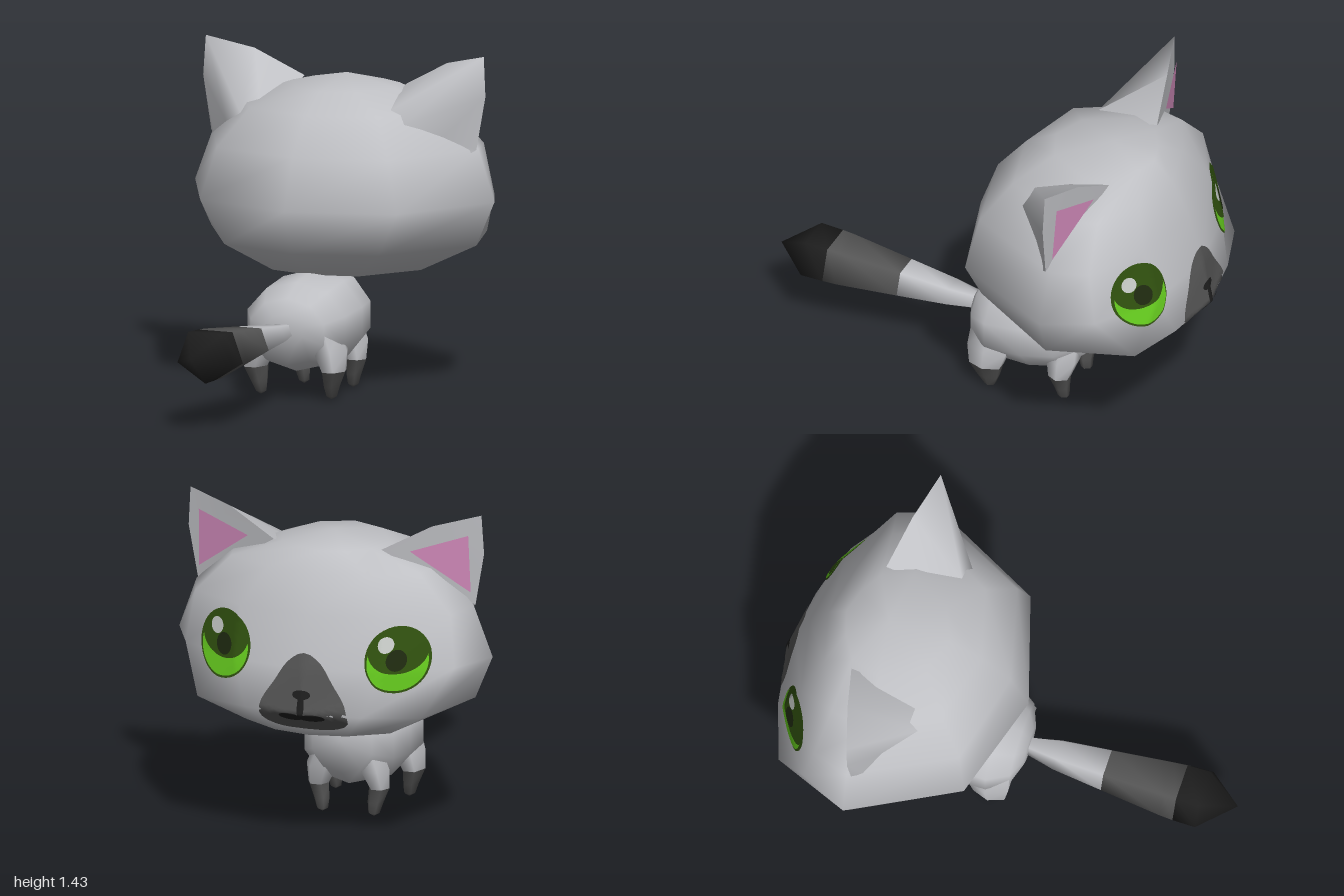
import * as THREE from 'three';

const mat = (name, color, side = THREE.FrontSide) => {
  const m = new THREE.MeshStandardMaterial({ color, side });
  m.name = name;
  return m;
};

// Skin consecutive rings of points; a ring of one point closes to a tip.
function loft(rings, closed = true) {
  const pos = [], idx = [], start = [];
  for (const r of rings) {
    start.push(pos.length / 3);
    for (const p of r) pos.push(...p);
  }
  for (let i = 0; i < rings.length - 1; i++) {
    const A = rings[i], B = rings[i + 1], n = Math.max(A.length, B.length);
    for (let j = 0; j < (closed ? n : n - 1); j++) {
      const k = (j + 1) % n, s = start[i], t = start[i + 1];
      if (A.length === 1) idx.push(s, t + k, t + j);
      else if (B.length === 1) idx.push(s + j, s + k, t);
      else idx.push(s + j, s + k, t + k, s + j, t + k, t + j);
    }
  }
  const g = new THREE.BufferGeometry();
  g.setAttribute('position', new THREE.Float32BufferAttribute(pos, 3));
  g.setIndex(idx);
  g.computeVertexNormals();
  return g;
}

// Polygon rings across z and across y
const ringZ = (z, cy, rx, ry, n, a0 = 0) => Array.from({ length: n }, (_, i) => {
  const a = a0 + (i / n) * Math.PI * 2;
  return [rx * Math.cos(a), cy + ry * Math.sin(a), z];
});
const ringY = (x, y, z, rx, rz, n = 6) => Array.from({ length: n }, (_, i) => {
  const a = (i / n) * Math.PI * 2;
  return [x + rx * Math.cos(a), y, z - rz * Math.sin(a)];
});

export function createModel() {
  const model = new THREE.Group();
  model.name = 'cat';
  const fur = mat('greyFur', 0xbfc0c4, THREE.DoubleSide);
  const dark = mat('darkGreyFur', 0x555555);
  const black = mat('blackFur', 0x1e1e1e);
  const pink = mat('earPink', 0xd48cbd);
  const deepGreen = mat('irisDarkGreen', 0x30500f);
  const green = mat('irisBrightGreen', 0x64c81e);
  const pupilMat = mat('pupil', 0x1f2a10);
  const shine = mat('eyeShine', 0xc8ccc8);
  const add = (name, geo, material) => {
    const m = new THREE.Mesh(geo, material);
    m.name = name;
    model.add(m);
    return m;
  };

  // Head: level cross-sections, half outline [x, z] from nape to face centre
  const levels = [
    [0.50, [[0, -0.19], [0.2, -0.24], [0.37, -0.5], [0.32, -0.76], [0.16, -0.86], [0, -0.89]]],
    [0.62, [[0, 0.01], [0.36, -0.1], [0.62, -0.52], [0.5, -0.88], [0.26, -0.96], [0, -1.0]]],
    [0.81, [[0, 0.07], [0.46, -0.07], [0.7, -0.53], [0.6, -0.74], [0.33, -0.9], [0, -0.965]]],
    [1.03, [[0, -0.01], [0.4, -0.11], [0.62, -0.54], [0.57, -0.7], [0.32, -0.84], [0, -0.9]]],
    [1.19, [[0, -0.14], [0.3, -0.22], [0.46, -0.5], [0.42, -0.67], [0.22, -0.77], [0, -0.82]]],
    [1.27, [[0, -0.28], [0.14, -0.34], [0.24, -0.52], [0.2, -0.65], [0.1, -0.71], [0, -0.74]]],
  ];
  const headRings = levels.map(([y, half]) => [
    ...half.map(([x, z]) => [x, y, z]),
    ...half.slice(1, -1).reverse().map(([x, z]) => [-x, y, z]),
  ]);
  const head = add('head', loft([[[0, 0.455, -0.52]], ...headRings, [[0, 1.315, -0.55]]]), fur);

  // Ears: flat front, pink lining, back swept into the skull
  const earRim = [[0.24, 1.27, -0.64], [0.45, 1.38, -0.59], [0.65, 1.43, -0.53], [0.66, 1.26, -0.525], [0.62, 1.03, -0.52]];
  const earRoot = [[0.24, 1.22, -0.45], [0.3, 1.2, -0.32], [0.38, 1.15, -0.3], [0.5, 1.08, -0.42], [0.58, 1.0, -0.47]];
  const lining = [[0.36, 1.27, -0.617], [0.6, 1.345, -0.555], [0.605, 1.09, -0.537]];
  const mid = (pts) => [0, 1, 2].map((k) => pts.reduce((s, p) => s + p[k], 0) / pts.length);
  for (const s of [1, -1]) {
    const side = s > 0 ? 'left' : 'right';
    const flip = (pts) => {
      const q = pts.map(([x, y, z]) => [s * x, y, z]);
      return s > 0 ? q : q.reverse();
    };
    const rim = flip(earRim), inner = flip(lining);
    add(side + 'EarFront', loft([rim, [mid(rim)]]), fur);
    add(side + 'EarBack', loft([flip(earRoot), rim], false), fur);
    add(side + 'EarLining', loft([inner, [mid(inner)]]).translate(s * 0.002, 0, -0.008), pink);
  }

  // Face markings: thin patches that follow the face surface
  const ray = new THREE.Raycaster();
  const faceZ = (x, y) => {
    ray.set(new THREE.Vector3(x, y, -3), new THREE.Vector3(0, 0, 1));
    const hit = ray.intersectObject(head)[0];
    return hit ? hit.point.z : -0.9;
  };
  const patch = (name, outline, cx, cy, lift, material) => {
    const curve = new THREE.CatmullRomCurve3(outline.map(([x, y]) => new THREE.Vector3(x, y, 0)), true);
    const edge = curve.getSpacedPoints(40).slice(0, 40);
    const rings = [[[cx, cy, faceZ(cx, cy) - lift]]];
    for (let i = 1; i <= 8; i++) {
      rings.push(edge.map((p) => {
        const x = cx + ((p.x - cx) * i) / 8, y = cy + ((p.y - cy) * i) / 8;
        return [x, y, faceZ(x, y) - lift];
      }));
    }
    add(name, loft(rings), material);
  };
  const oval = (name, cx, cy, rx, ry, lift, material) =>
    patch(name, ringZ(0, cy, rx, ry, 14).map(([x, y]) => [x + cx, y]), cx, cy, lift, material);

  for (const s of [1, -1]) {
    const n = s > 0 ? 'leftEye' : 'rightEye', x = s * 0.385;
    oval(n + 'Rim', x, 0.86, 0.13, 0.14, 0.005, deepGreen);
    oval(n + 'Iris', x, 0.85, 0.12, 0.12, 0.008, green);
    oval(n + 'IrisShade', x, 0.895, 0.118, 0.092, 0.011, deepGreen);
    oval(n + 'Pupil', x, 0.86, 0.04, 0.045, 0.014, pupilMat);
    oval(n + 'Shine', x + 0.045, 0.925, 0.032, 0.034, 0.014, shine);
  }
  const muzzleHalf = [[0.12, 0.54], [0.19, 0.575], [0.19, 0.65], [0.13, 0.75], [0.07, 0.84]];
  patch('muzzle', [[0, 0.54], ...muzzleHalf, [0, 0.88], ...muzzleHalf.map(([x, y]) => [-x, y]).reverse()], 0, 0.67, 0.005, dark);
  oval('nose', 0, 0.705, 0.04, 0.02, 0.009, black);
  oval('noseLine', 0, 0.655, 0.015, 0.06, 0.009, black);
  for (const s of [1, -1]) oval(s > 0 ? 'leftMouth' : 'rightMouth', s * 0.048, 0.605, 0.055, 0.018, 0.009, black);

  // Body: ovals from chest to rump [z, centre y, half width, half height]
  const bodyRings = [
    [-0.45, 0.34, 0.14, 0.14], [-0.36, 0.32, 0.21, 0.19], [-0.22, 0.31, 0.24, 0.21],
    [-0.05, 0.3, 0.24, 0.19], [0.04, 0.29, 0.18, 0.145], [0.075, 0.3, 0.09, 0.07],
  ].map(([z, cy, rx, ry]) => ringZ(z, cy, rx, ry, 10, Math.PI / 2));
  add('body', loft([[[0, 0.35, -0.475]], ...bodyRings, [[0, 0.3, 0.08]]]), fur);

  // Legs: grey thigh, dark pointed paw
  for (const s of [1, -1]) {
    for (const [n, x, z, tip, rx, rz] of [['Back', 0.182, -0.04, 0.165, 0.05, 0.08], ['Front', 0.135, -0.36, 0.115, 0.045, 0.05]]) {
      const name = (s > 0 ? 'left' : 'right') + n;
      const cuff = ringY(s * x, 0.125, z, rx, rz);
      add(name + 'Leg', loft([cuff, ringY(s * (x - 0.02), 0.21, z - 0.01, rx + 0.025, rz + 0.025), ringY(s * (x - 0.05), 0.3, z - 0.01, rx + 0.02, rz + 0.02)]), fur);
      add(name + 'Paw', loft([[[s * tip, 0, z - 0.01]], ringY(s * tip, 0.015, z - 0.01, 0.025, 0.025), ringY(s * (tip + 0.005), 0.06, z - 0.005, 0.035, rz * 0.65), cuff]), dark);
    }
  }

  // Tail: five-sided, in three colour bands
  const t = (z, cy, rx, ry) => ringZ(z, cy, rx, ry, 5, -Math.PI / 2);
  const band1 = t(0.42, 0.302, 0.098, 0.083), band2 = t(0.75, 0.311, 0.135, 0.117);
  add('tailBase', loft([t(0.03, 0.295, 0.03, 0.035), t(0.2, 0.298, 0.072, 0.055), band1]), fur);
  add('tailBand', loft([band1, t(0.69, 0.308, 0.13, 0.115), band2]), dark);
  add('tailTip', loft([band2, t(0.85, 0.314, 0.137, 0.12), [[0, 0.32, 1]]]), black);
  return model;
}
